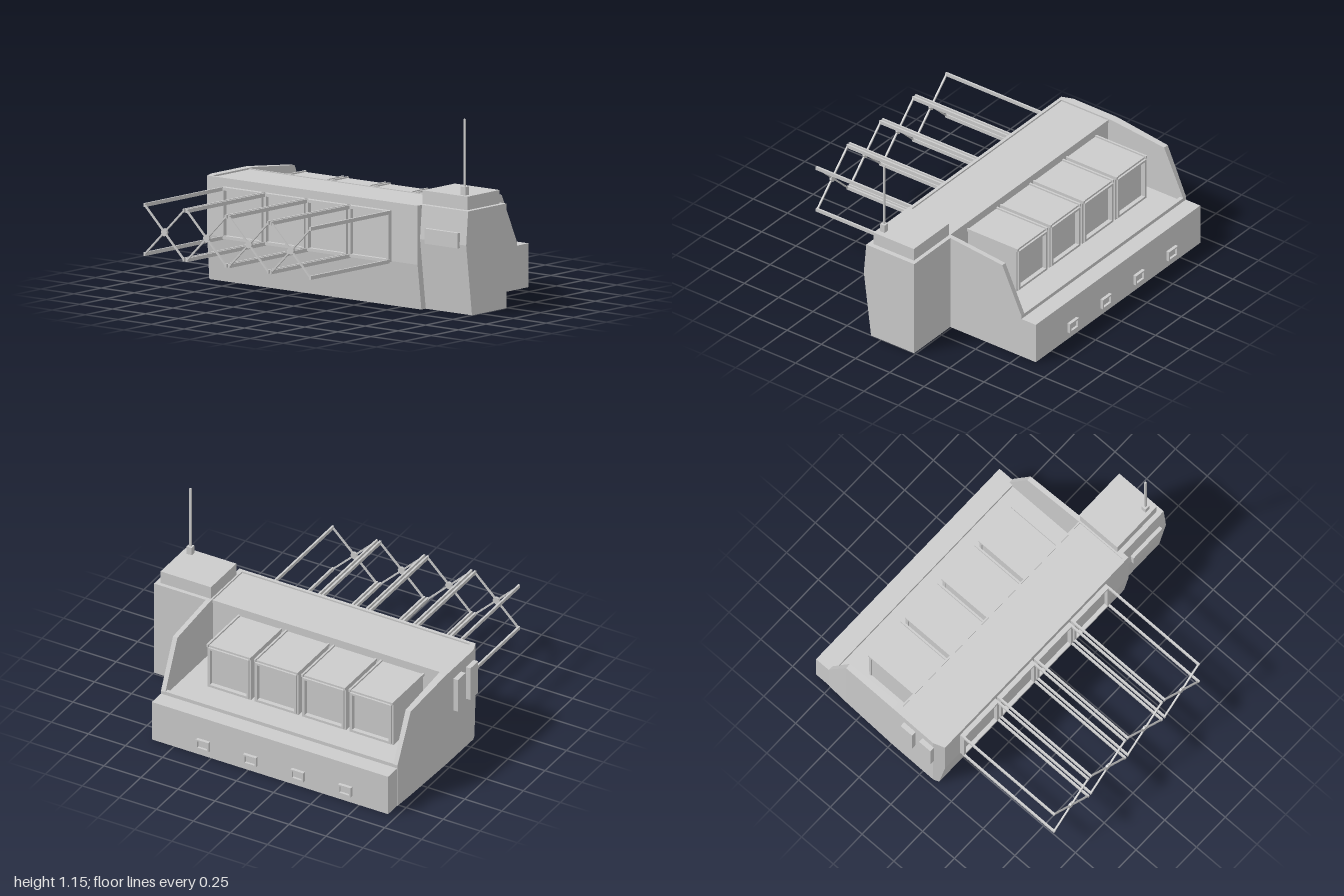
import * as THREE from 'three';
import { ConvexGeometry } from 'three/addons/geometries/ConvexGeometry.js';

const material = new THREE.MeshStandardMaterial({ color: 0xcccccc, flatShading: true });

export function createModel() {
  const model = new THREE.Group();

  const add = (name, geometry, parent = model) => {
    const mesh = new THREE.Mesh(geometry, material);
    mesh.name = name;
    parent.add(mesh);
    return mesh;
  };
  // Box from its minimum and maximum on each axis
  const box = (name, x0, x1, y0, y1, z0, z1, parent) => {
    const g = new THREE.BoxGeometry(x1 - x0, y1 - y0, z1 - z0);
    g.translate((x0 + x1) / 2, (y0 + y1) / 2, (z0 + z1) / 2);
    return add(name, g, parent);
  };
  // Profile in x, y drawn out along z
  const prism = (name, points, z0, z1) => {
    const shape = new THREE.Shape(points.map(([x, y]) => new THREE.Vector2(x, y)));
    const g = new THREE.ExtrudeGeometry(shape, { depth: z1 - z0, bevelEnabled: false });
    return add(name, g.translate(0, 0, z0));
  };
  // Rectangular ring in the y, z plane, standing out along x
  const ring = (name, x0, x1, y0, y1, z0, z1, t, parent) => {
    box(name, x0, x1, y0, y0 + t, z0, z1, parent);
    box(name, x0, x1, y1 - t, y1, z0, z1, parent);
    box(name, x0, x1, y0 + t, y1 - t, z0, z0 + t, parent);
    box(name, x0, x1, y0 + t, y1 - t, z1 - t, z1, parent);
  };
  // Thin square bar between two points
  const bar = (name, a, b, t, parent) => {
    const from = new THREE.Vector3(...a), to = new THREE.Vector3(...b);
    const mesh = add(name, new THREE.BoxGeometry(t, t, from.distanceTo(to)), parent);
    mesh.position.copy(from).add(to).multiplyScalar(0.5);
    mesh.lookAt(to);
  };

  // Hull: low base, tall spine and a shallow parapet
  prism('hull', [[-0.115, 0], [0.865, 0], [0.865, 0.26], [0.21, 0.26], [0.21, 0.61],
    [-0.15, 0.61], [-0.15, 0.27]], -0.92, 0.62);
  box('spineParapet', -0.15, -0.13, 0.61, 0.62, -0.92, 0.62);
  box('spineCornice', 0.205, 0.215, 0.595, 0.615, -0.92, 0.62);
  box('deckCurb', 0.735, 0.76, 0.26, 0.283, -0.92, 0.62);

  // Front end wall
  prism('frontEndWall', [[-0.115, 0], [0.865, 0], [0.865, 0.26], [0.76, 0.26], [0.76, 0.28],
    [0.62, 0.58], [0.24, 0.62], [-0.15, 0.62], [-0.15, 0.27]], 0.62, 0.65);

  // Back end wall, faceted in plan: x, bottom, top, back z
  const columns = [[-0.15, 0.27, 0.62, -0.945], [-0.115, 0, 0.62, -0.957], [-0.08, 0, 0.62, -0.97],
    [0.24, 0, 0.62, -0.968], [0.62, 0, 0.58, -0.955], [0.76, 0, 0.28, -0.947]];
  const wallPoints = columns.flatMap(([x, y0, y1, z]) => [y0, y1].flatMap((y) =>
    [new THREE.Vector3(x, y, z), new THREE.Vector3(x, y, -0.92)]));
  add('backEndWall', new ConvexGeometry(wallPoints));
  box('backLedge', 0.76, 0.865, 0, 0.26, -0.945, -0.92);
  for (const x of [-0.085, 0.06]) box('backPanel', x, x + 0.09, 0.33, 0.55, -1, -0.955);

  // Four bays, each with a housing, door frame, vent and outer rack
  [0.3, -0.02, -0.34, -0.66].forEach((z) => {
    const bay = new THREE.Group();
    bay.name = 'bay';
    model.add(bay);
    const z0 = z - 0.148, z1 = z + 0.148;

    // Housing on the deck with stepped frame and recessed face
    box('housing', 0.2, 0.555, 0.26, 0.55, z0 + 0.008, z1 - 0.008, bay);
    box('housingRoof', 0.2, 0.57, 0.55, 0.56, z0 + 0.014, z1 - 0.014, bay);
    ring('housingFrame', 0.555, 0.57, 0.27, 0.56, z0, z1, 0.02, bay);
    ring('housingInnerFrame', 0.555, 0.582, 0.28, 0.548, z0 + 0.01, z1 - 0.01, 0.014, bay);
    for (const side of [z0, z1 - 0.012])
      box('housingRoofRail', 0.2, 0.58, 0.55, 0.568, side, side + 0.012, bay);

    // Door on the outer wall
    ring('doorFrame', -0.18, -0.14, 0.265, 0.57, z0 - 0.005, z1 + 0.005, 0.018, bay);
    box('doorPanel', -0.155, -0.14, 0.28, 0.55, z0, z1, bay);

    // Open rack: four rails and a crossed brace at the outer end
    for (const y of [0.27, 0.56])
      for (const rz of [z0, z1])
        box('rackRail', -0.89, -0.17, y - 0.011, y + 0.011, rz - 0.006, rz + 0.006, bay);
    bar('rackBrace', [-0.884, 0.27, z0], [-0.884, 0.56, z1], 0.01, bay);
    bar('rackBrace', [-0.884, 0.56, z0], [-0.884, 0.27, z1], 0.01, bay);
    const hub = new THREE.CylinderGeometry(0.024, 0.024, 0.014, 8).rotateZ(Math.PI / 2);
    add('braceHub', hub.translate(-0.882, 0.415, z), bay);

    // Vent below the deck
    ring('ventFrame', 0.86, 0.885, 0.048, 0.112, z - 0.043, z + 0.043, 0.01, bay);
    box('ventPlate', 0.86, 0.87, 0.055, 0.105, z - 0.035, z + 0.035, bay);
  });

  // Front tower with bowed outer side
  prism('tower', [[-0.075, 0], [0.24, 0], [0.24, 0.62], [-0.11, 0.62], [-0.128, 0.42]], 0.65, 1);
  box('towerCap', -0.08, 0.215, 0.61, 0.7, 0.63, 0.97);
  box('towerSidePanel', -0.145, -0.1, 0.4, 0.49, 0.7, 0.95);

  // Antenna
  box('antennaBase', -0.058, -0.025, 0.7, 0.75, 0.9, 0.935);
  box('antennaMast', -0.047, -0.036, 0.75, 1.15, 0.912, 0.923);

  return model;
}
